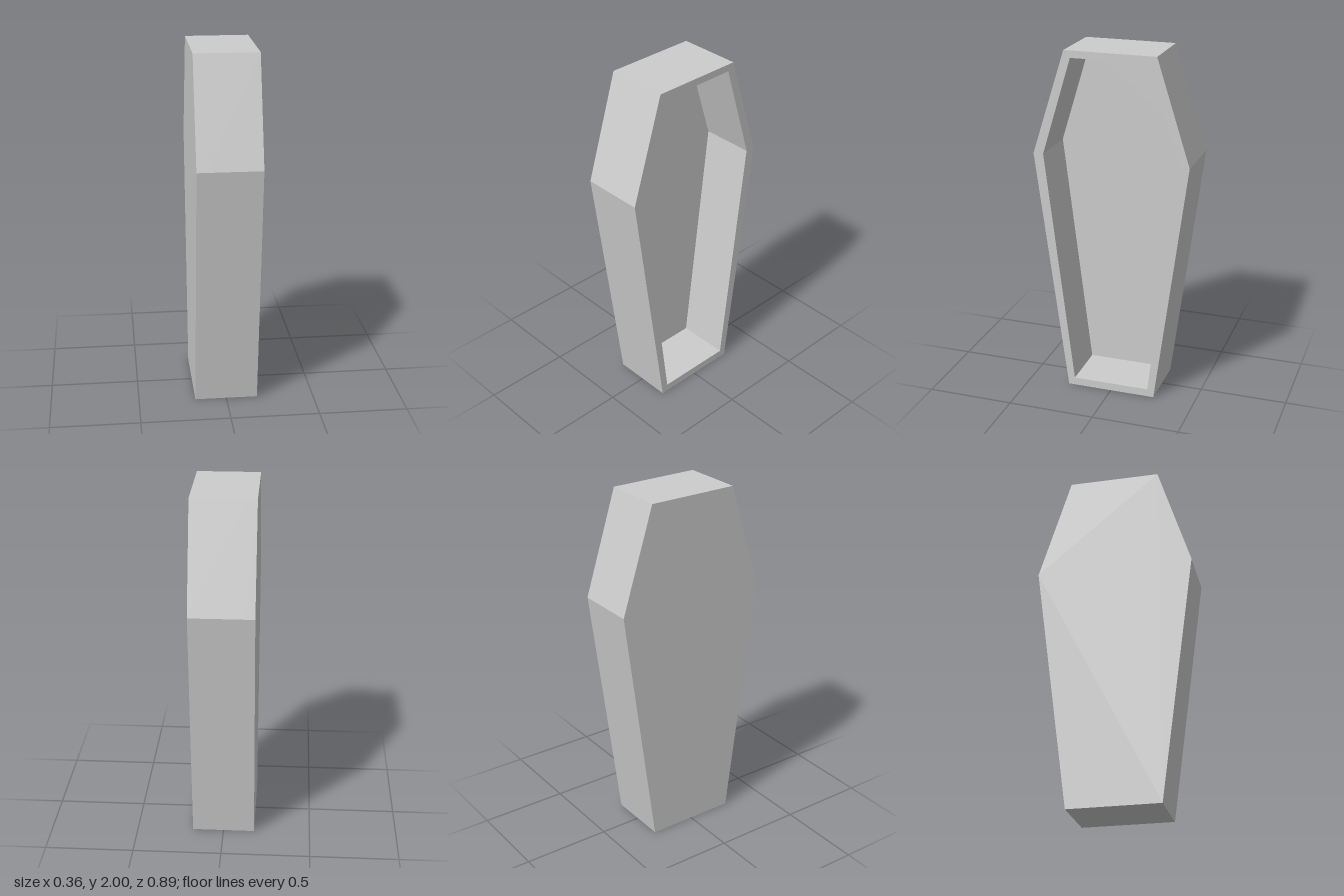
import * as THREE from 'three';

// Six-sided outline, wide at the shoulders and mirrored about its centre line
function outline(PathType, endHalf, shoulderHalf, bottom, shoulder, top) {
  const path = new PathType();
  path.moveTo(-endHalf, bottom);
  path.lineTo(endHalf, bottom);
  path.lineTo(shoulderHalf, shoulder);
  path.lineTo(endHalf, top);
  path.lineTo(-endHalf, top);
  path.lineTo(-shoulderHalf, shoulder);
  path.closePath();
  return path;
}

export function createModel() {
  const group = new THREE.Group();
  group.name = 'openCoffin';

  const grey = new THREE.MeshStandardMaterial({ color: 0xcccccc });
  grey.name = 'lightGrey';

  const halfDepth = 0.178;
  const floorX = -0.124;

  // Extrudes an outline sideways between two x positions
  function slab(name, shape, fromX, toX) {
    const geometry = new THREE.ExtrudeGeometry(shape, { depth: toX - fromX, bevelEnabled: false });
    geometry.rotateY(Math.PI / 2);
    geometry.translate(fromX, 0, 0);
    const mesh = new THREE.Mesh(geometry, grey);
    mesh.name = name;
    group.add(mesh);
  }

  const outer = () => outline(THREE.Shape, 0.26, 0.447, 0, 1.41, 2);

  // Walls around the hollow, open towards +x
  const walls = outer();
  walls.holes.push(outline(THREE.Path, 0.223, 0.39, 0.045, 1.41, 1.96));
  slab('walls', walls, floorX, halfDepth);

  // Closed panel at the bottom of the hollow
  slab('basePanel', outer(), -halfDepth, floorX);

  return group;
}
